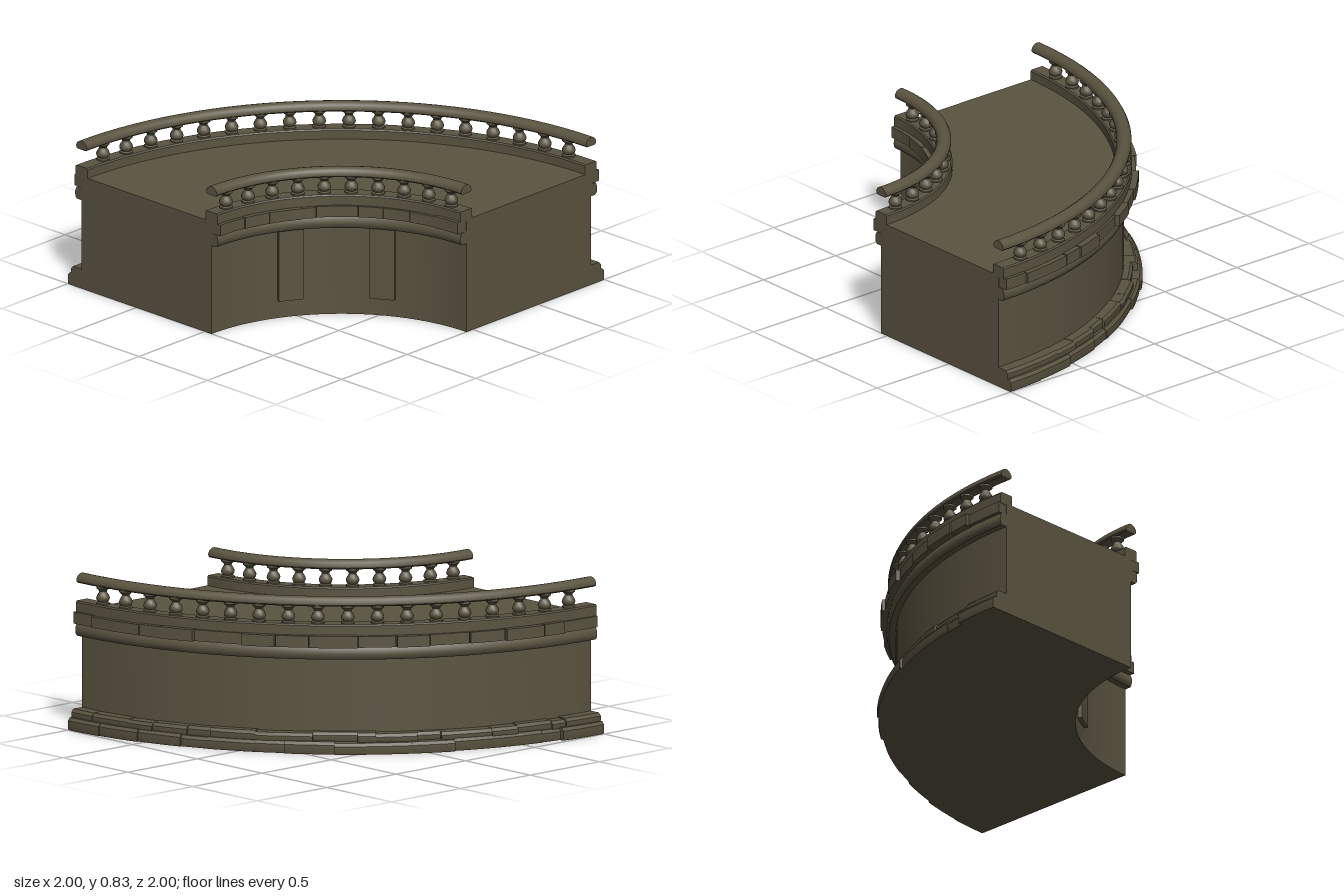
import * as THREE from 'three';
import { mergeGeometries, toCreasedNormals } from 'three/addons/utils/BufferGeometryUtils.js';

const DEG = Math.PI / 180;
const OUTER = 1.9, INNER = 0.95;

export function createModel() {
  const stone = new THREE.MeshStandardMaterial({ color: 0x5a5340 });
  stone.name = 'weathered stone';

  const model = new THREE.Group();
  model.name = 'curvedTerrace';
  // Everything is laid out around the centre of the quarter ring
  const ring = new THREE.Group();
  ring.name = 'quarterRing';
  ring.position.set(-1, 0, 1);
  model.add(ring);

  let seed = 7;
  const rand = () => (seed = (seed * 16807) % 2147483647) / 2147483647;

  // Sweep a counter-clockwise [radius, y] section from angle a to b (degrees), with end caps
  function arc(profile, a = 0, b = 90, segments = 32) {
    const pts = profile.map(([r, y]) => new THREE.Vector2(r, y));
    const shell = new THREE.LatheGeometry([...pts, pts[0]], segments, (a + 90) * DEG, (b - a) * DEG);
    const start = new THREE.ShapeGeometry(new THREE.Shape(pts));
    const end = start.clone();
    end.index.array.reverse();
    start.rotateY(a * DEG);
    end.rotateY(b * DEG);
    return toCreasedNormals(mergeGeometries([shell, start, end]), 35 * DEG);
  }

  function add(name, geometry, parent = ring) {
    const mesh = new THREE.Mesh(geometry, stone);
    mesh.name = name;
    parent.add(mesh);
    return mesh;
  }

  const rect = (r0, r1, y0, y1) => [[r0, y0], [r1, y0], [r1, y1], [r0, y1]];

  // Section offsets measured outward from a wall; side -1 mirrors it for the inner wall
  function section(radius, side, offsets) {
    const pts = offsets.map(([d, y]) => [radius + side * d, y]);
    return side > 0 ? pts : pts.reverse();
  }

  // Split 0..90 degrees into irregular stones
  function splitArc(count) {
    const cuts = [0];
    for (let i = 1; i < count; i++) cuts.push((i + (rand() - 0.5) * 0.6) * 90 / count);
    cuts.push(90);
    return cuts;
  }

  // Main curved block with the deck on top
  add('terraceBody', arc(rect(INNER, OUTER, 0, 0.635), 0, 90, 40));

  // Baluster shape
  const balusterProfile = [
    [0, 0.688], [0.036, 0.688], [0.036, 0.697], [0.026, 0.703], [0.034, 0.713], [0.037, 0.723],
    [0.032, 0.737], [0.023, 0.75], [0.02, 0.76], [0.026, 0.768], [0.036, 0.776], [0.036, 0.79], [0, 0.79]
  ].map(([r, y]) => new THREE.Vector2(r, y));
  const baluster = toCreasedNormals(new THREE.LatheGeometry(balusterProfile, 12), 50 * DEG);

  // Parapet: moulding, brick course, curb, balusters and handrail
  function parapet(name, radius, side, bricks, angles) {
    const group = new THREE.Group();
    group.name = name;
    ring.add(group);

    add('roundMoulding', arc(section(radius, side, [
      [-0.01, 0.5], [0.034, 0.5], [0.043, 0.51], [0.047, 0.53], [0.045, 0.55], [0.036, 0.567], [-0.01, 0.572]
    ])), group);

    const cuts = splitArc(bricks);
    for (let i = 0; i < bricks; i++) {
      const d = side > 0 ? 0.052 + rand() * 0.028 : 0.048 + rand() * 0.024;
      const top = 0.628 + rand() * 0.007;
      add('brick', arc(section(radius, side, [
        [-0.01, 0.57], [d, 0.57], [d, top], [-0.01, top]
      ]), cuts[i] + 0.08, cuts[i + 1] - 0.08, 4), group);
    }

    add('curb', arc(section(radius, side, [
      [-0.045, 0.625], [0.043, 0.625], [0.043, 0.683], [0.036, 0.69], [-0.038, 0.69], [-0.045, 0.683]
    ])), group);

    for (const angle of angles) {
      const post = add('baluster', baluster, group);
      post.position.set(radius * Math.cos(angle * DEG), 0, -radius * Math.sin(angle * DEG));
    }

    add('handrail', arc(section(radius, side, [
      [-0.03, 0.785], [0.03, 0.785], [0.038, 0.793], [0.039, 0.806], [0.03, 0.822], [0.015, 0.832],
      [0, 0.835], [-0.015, 0.832], [-0.03, 0.822], [-0.039, 0.806], [-0.038, 0.793]
    ])), group);
  }

  parapet('outerParapet', OUTER, 1, 15, Array.from({ length: 18 }, (_, i) => (i + 1) * 90 / 19));
  parapet('innerParapet', INNER, -1, 9, Array.from({ length: 10 }, (_, i) => 45 + (i - 4.5) * 8.6));

  // Two courses of rounded footing stones along the outer wall
  function footing(name, count, y0, y1, dMin, dMax) {
    const cuts = splitArc(count);
    for (let i = 0; i < count; i++) {
      const atEnd = i === 0 || i === count - 1;
      const d = atEnd ? dMax : dMin + rand() * (dMax - dMin);
      const top = y1 - (atEnd ? 0 : rand() * 0.008);
      add(name, arc(section(OUTER, 1, [
        [-0.01, y0], [d - 0.004, y0], [d, y0 + 0.012], [d, top - 0.016], [d - 0.014, top], [-0.01, top]
      ]), cuts[i], cuts[i + 1], 5));
    }
  }
  footing('lowerFootingStone', 14, 0, 0.067, 0.075, 0.1);
  footing('upperFootingStone', 17, 0.058, 0.11, 0.045, 0.075);

  // Flat pilasters on the inner wall
  for (const angle of [30.5, 60.5]) {
    const pilaster = add('pilaster', new THREE.BoxGeometry(0.06, 0.4, 0.135));
    pilaster.position.set(0.955 * Math.cos(angle * DEG), 0.3, -0.955 * Math.sin(angle * DEG));
    pilaster.rotation.y = angle * DEG;
  }

  return model;
}
